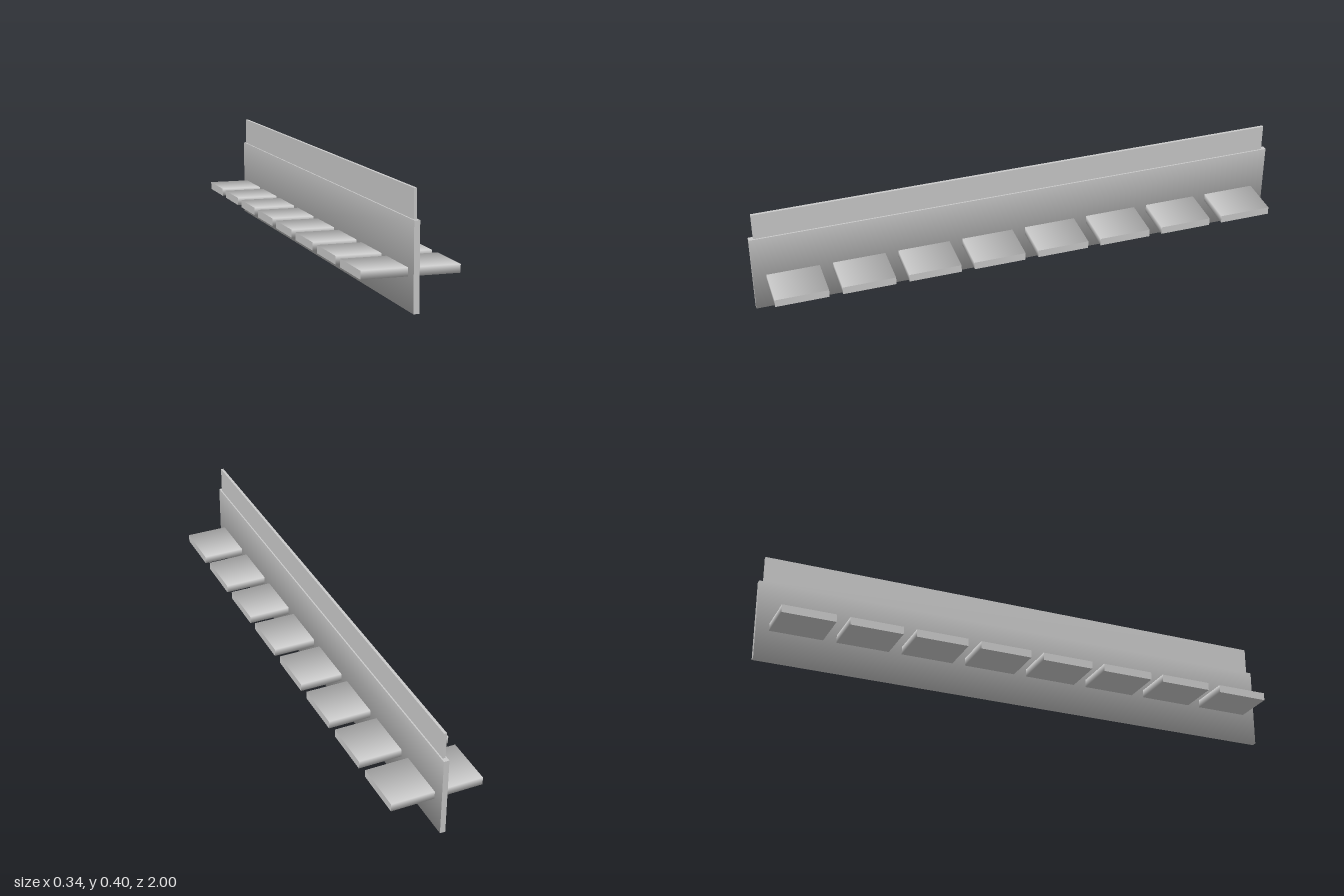
import * as THREE from 'three';

const material = new THREE.MeshStandardMaterial({ color: 0xcccccc });

// Box between two corners; soften(position sign, face normal) may bend the normals
function box(name, min, max, soften) {
  const size = max.map((v, i) => v - min[i]);
  const geometry = new THREE.BoxGeometry(...size);
  const p = geometry.attributes.position, n = geometry.attributes.normal;
  const sign = new THREE.Vector3(), normal = new THREE.Vector3();
  for (let i = 0; i < p.count; i++) {
    sign.set(Math.sign(p.getX(i)), Math.sign(p.getY(i)), Math.sign(p.getZ(i)));
    normal.fromBufferAttribute(n, i);
    soften?.(sign, normal);
    normal.normalize();
    n.setXYZ(i, normal.x, normal.y, normal.z);
  }
  const mesh = new THREE.Mesh(geometry, material);
  mesh.name = name;
  mesh.position.set(...min.map((v, i) => (v + max[i]) / 2));
  return mesh;
}

// Smooth shading around the bottom edge of the board
const softBottom = (s, n) => {
  if (s.y < 0 && Math.abs(n.z) < 0.5) n.set(s.x, -1, 0);
};

// Smooth shading around the long edges of a slat, flat at its ends
const softSlat = (s, n) => {
  if (Math.abs(n.x) < 0.5) n.set(0, s.y, s.z);
};

export function createModel() {
  const model = new THREE.Group();
  model.name = 'slattedBoard';

  // Upright board with a thinner, slightly shorter upper strip
  model.add(box('board', [-0.01, 0, -1], [0.01, 0.3, 1], softBottom));
  model.add(box('upperStrip', [-0.005, 0.3, -0.983], [0.005, 0.4, 0.983]));

  // Eight pairs of flat slats standing out from both sides
  const slats = new THREE.Group();
  slats.name = 'slats';
  const count = 8, pitch = 0.244, half = 0.0975;
  for (let i = 0; i < count; i++) {
    const z = (i - (count - 1) / 2) * pitch;
    slats.add(box('leftSlat', [0.01, 0.112, z - half], [0.17, 0.141, z + half], softSlat));
    slats.add(box('rightSlat', [-0.17, 0.112, z - half], [-0.01, 0.141, z + half], softSlat));
  }
  model.add(slats);
  return model;
}
